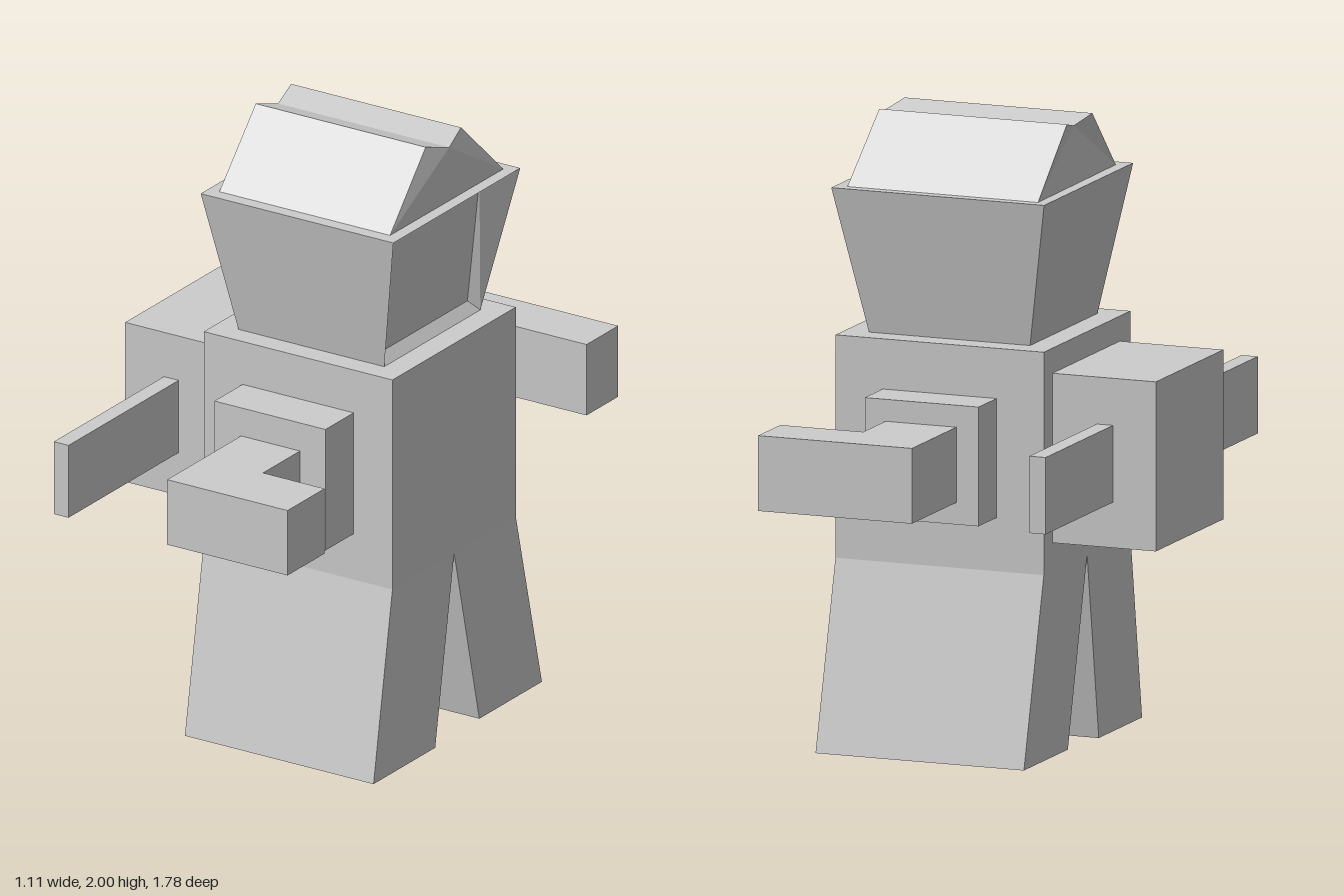
import * as THREE from 'three';

const grey = new THREE.MeshStandardMaterial({ color: 0xcccccc });
grey.name = 'plain grey';

function mesh(name, geometry) {
  const m = new THREE.Mesh(geometry, grey);
  m.name = name;
  return m;
}

// Box from its limits on each axis
function block(name, [x0, x1], [y0, y1], [z0, z1]) {
  const g = new THREE.BoxGeometry(x1 - x0, y1 - y0, z1 - z0);
  g.translate((x0 + x1) / 2, (y0 + y1) / 2, (z0 + z1) / 2);
  return mesh(name, g);
}

// Box whose bottom and top rectangles differ: { x: [min, max], z: [min, max], y }
function taperedBox(bottom, top) {
  const g = new THREE.BoxGeometry(1, 1, 1);
  const p = g.attributes.position;
  for (let i = 0; i < p.count; i++) {
    const end = p.getY(i) > 0 ? top : bottom;
    p.setXYZ(i, end.x[p.getX(i) > 0 ? 1 : 0], end.y, end.z[p.getZ(i) > 0 ? 1 : 0]);
  }
  g.computeVertexNormals();
  return g;
}

// Flat faces from corner loops, counter-clockwise from outside, fanned from the first corner
function facets(loops) {
  const pts = [];
  for (const loop of loops) {
    for (let i = 1; i < loop.length - 1; i++) pts.push(...loop[0], ...loop[i], ...loop[i + 1]);
  }
  const g = new THREE.BufferGeometry();
  g.setAttribute('position', new THREE.Float32BufferAttribute(pts, 3));
  g.computeVertexNormals();
  return g;
}

// L-shaped arm: straight out along z, then a hand pointing to +x
function arm(name, [x0, x1], hand, zIn, zBend, zOut, [y0, y1]) {
  const shape = new THREE.Shape([
    [x0, zIn], [x1, zIn], [x1, zBend], [hand, zBend], [hand, zOut], [x0, zOut],
  ].map(([x, z]) => new THREE.Vector2(x, z)));
  const g = new THREE.ExtrudeGeometry(shape, { depth: y1 - y0, bevelEnabled: false });
  g.rotateX(Math.PI / 2).translate(0, y1, 0);
  return mesh(name, g);
}

function buildHead() {
  const head = new THREE.Group();
  head.name = 'head';
  // Flared shell, left open on the +x side
  const shell = taperedBox(
    { x: [-0.125, 0.42], z: [-0.31, 0.235], y: 1.32 },
    { x: [-0.21, 0.51], z: [-0.4, 0.32], y: 1.79 });
  shell.setIndex(Array.from(shell.index.array).slice(6));
  shell.clearGroups();
  head.add(mesh('headShell', shell));

  // Recessed face: sloping frame and inner panel
  const rim = [[0.42, 1.32, 0.235], [0.42, 1.32, -0.31], [0.51, 1.79, -0.4], [0.51, 1.79, 0.32]];
  const panel = [[0.385, 1.35, 0.21], [0.385, 1.35, -0.29], [0.43, 1.77, -0.29], [0.43, 1.77, 0.21]];
  const frame = rim.map((a, i) => {
    const j = (i + 1) % 4;
    return [a, rim[j], panel[j], panel[i]];
  });
  head.add(mesh('faceFrame', facets(frame)), mesh('facePanel', facets([panel])));

  // Roof with a shallow groove between two ridges: [y, z, xMin, xMax]
  const profile = [
    [1.975, -0.05, -0.165, 0.475],
    [2.0, -0.155, -0.185, 0.45],
    [1.79, -0.365, -0.175, 0.47],
    [1.79, 0.275, -0.17, 0.468],
    [2.0, 0.038, -0.19, 0.445],
  ];
  const right = profile.map(([y, z, , x]) => [x, y, z]);
  const left = profile.map(([y, z, x]) => [x, y, z]);
  const sides = profile.map((_, i) => {
    const j = (i + 1) % profile.length;
    return [left[i], right[i], right[j], left[j]];
  });
  // Each cap fans from the groove point
  const leftCap = [left[0], ...left.slice(1).reverse()];
  const rightCap = right;
  head.add(mesh('roof', facets([...sides, flip(rightCap), flip(leftCap)])));
  return head;
}

// Reverse a loop while keeping its first corner
function flip(loop) {
  return [loop[0], ...loop.slice(1).reverse()];
}

export function createModel() {
  const model = new THREE.Group();
  model.name = 'blockFigure';

  // Torso and splayed legs
  model.add(block('torso', [-0.205, 0.5], [0.61, 1.32], [-0.39, 0.31]));
  const legs = [
    ['leftLeg', [-0.04, 0.31], [0.09, 0.44], 0],
    ['rightLeg', [-0.39, -0.04], [-0.515, -0.16], 0.01],
  ];
  for (const [name, topZ, footZ, y] of legs) {
    model.add(mesh(name, taperedBox(
      { x: [-0.19, 0.515], z: footZ, y },
      { x: [-0.205, 0.5], z: topZ, y: 0.61 })));
  }

  model.add(buildHead());

  // Shoulders and arms
  model.add(block('leftShoulder', [-0.06, 0.355], [0.765, 1.175], [0.31, 0.47]));
  model.add(block('rightShoulder', [-0.045, 0.34], [0.78, 1.16], [-0.535, -0.39]));
  model.add(arm('leftArm', [0.04, 0.26], 0.49, 0.47, 0.68, 0.89, [0.86, 1.08]));
  model.add(arm('rightArm', [0.03, 0.27], 0.55, -0.535, -0.715, -0.895, [0.85, 1.09]));

  // Backpack with a thin wing on each side
  model.add(block('backpack', [-0.555, -0.205], [0.7, 1.24], [-0.32, 0.225]));
  model.add(block('leftWing', [-0.41, -0.355], [0.845, 1.09], [0.225, 0.85]));
  model.add(block('rightWing', [-0.41, -0.355], [0.845, 1.09], [-0.865, -0.32]));

  return model;
}
